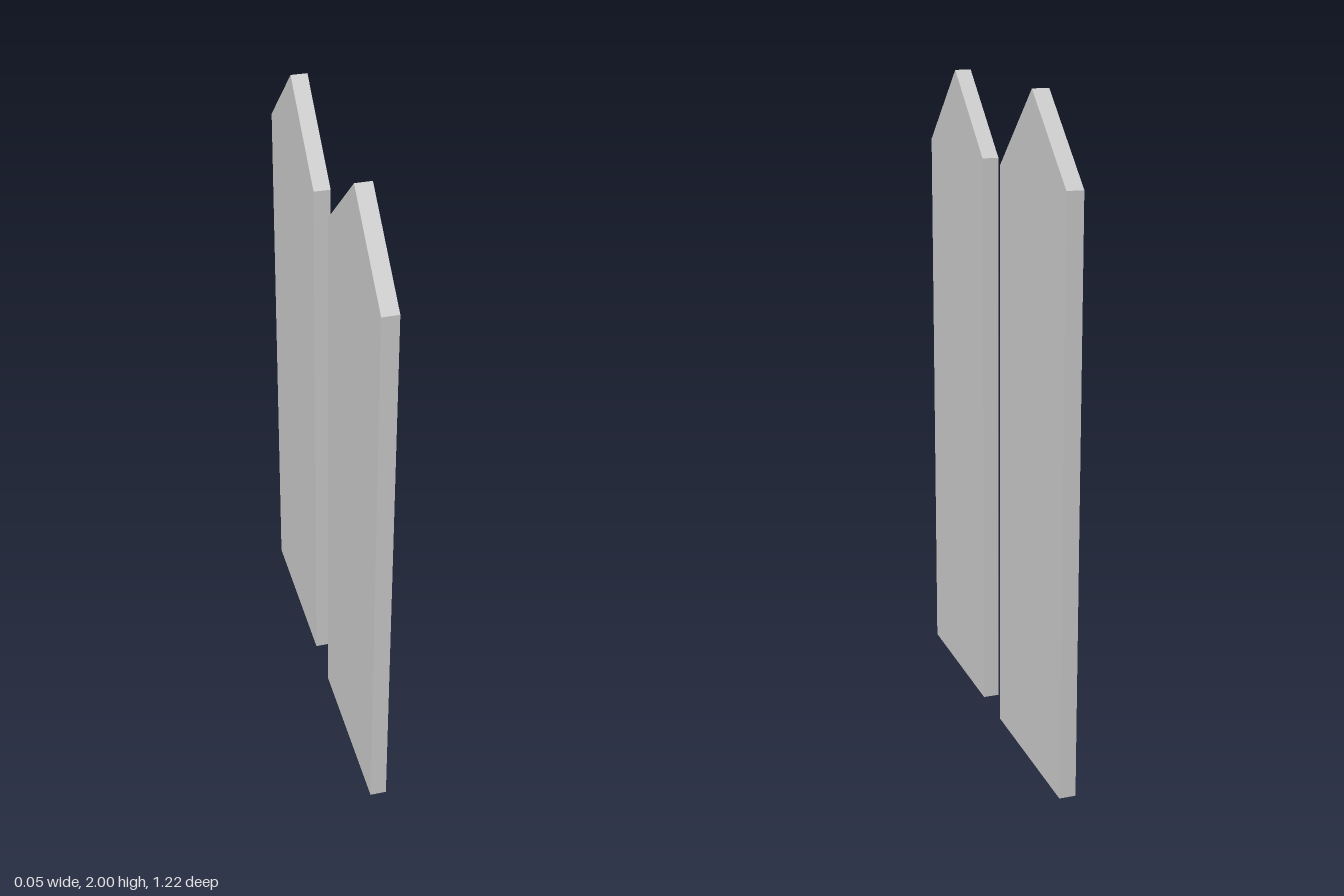
import * as THREE from 'three';

const WIDTH = 0.53, THICKNESS = 0.05, SHOULDER = 1.76, HEIGHT = 2, OFFSET = 0.345;

// Pointed board: flat outline extruded, then turned so its width runs along z
function boardGeometry() {
  const w = WIDTH / 2;
  const outline = new THREE.Shape([
    new THREE.Vector2(-w, 0),
    new THREE.Vector2(w, 0),
    new THREE.Vector2(w, SHOULDER),
    new THREE.Vector2(0, HEIGHT),
    new THREE.Vector2(-w, SHOULDER),
  ]);
  return new THREE.ExtrudeGeometry(outline, { depth: THICKNESS, bevelEnabled: false })
    .translate(0, 0, -THICKNESS / 2)
    .rotateY(-Math.PI / 2);
}

export function createModel() {
  const model = new THREE.Group();
  model.name = 'pointedBoards';
  const material = new THREE.MeshStandardMaterial({ color: 0xcccccc, flatShading: true });
  const geometry = boardGeometry();

  // Two matching boards with a gap between them
  for (const [name, side] of [['frontBoard', 1], ['backBoard', -1]]) {
    const board = new THREE.Mesh(geometry, material);
    board.name = name;
    board.position.z = side * OFFSET;
    model.add(board);
  }
  return model;
}
